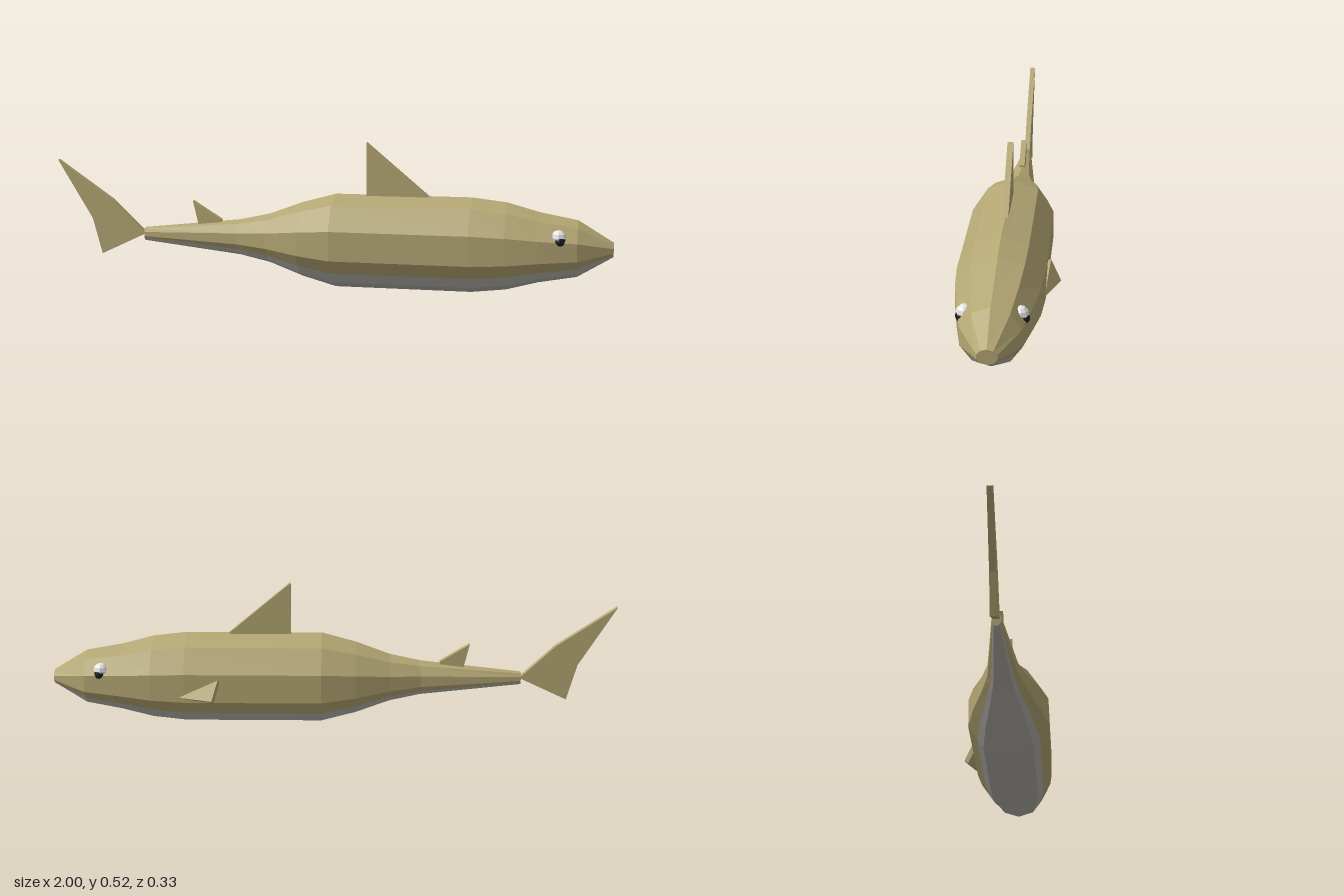
import * as THREE from 'three';

const CY = 0.168, CZ = 0.023; // body axis

function makeMaterial(name, color) {
  const m = new THREE.MeshStandardMaterial({ color, flatShading: true });
  m.name = name;
  return m;
}

// body stations: x, vertical radius, sideways radius
const STATIONS = [
  [-0.67, 0.024, 0.016], [-0.31, 0.064, 0.054], [-0.2, 0.088, 0.083],
  [-0.08, 0.133, 0.123], [0.04, 0.166, 0.15], [0.52, 0.166, 0.15],
  [0.64, 0.152, 0.142], [0.75, 0.122, 0.124], [0.88, 0.098, 0.099],
  [1.0, 0.025, 0.033],
];

// ten-sided outline [up, side], with the belly colour line cutting one face on each flank
function bodyOutline() {
  const pts = [];
  for (let i = 0; i < 10; i++) pts.push([Math.cos(i * Math.PI / 5), Math.sin(i * Math.PI / 5)]);
  const mix = (a, b) => [a[0] + (b[0] - a[0]) * 0.58, a[1] + (b[1] - a[1]) * 0.58];
  return [...pts.slice(0, 4), mix(pts[3], pts[4]), ...pts.slice(4, 7), mix(pts[7], pts[6]), ...pts.slice(7)];
}

function bodyPart(belly) {
  const outline = bodyOutline(), n = outline.length, pos = [];
  const at = (s, k) => {
    const [u, w] = outline[k % n];
    return [s[0], CY + u * s[1], CZ + w * s[2]];
  };
  const tri = (a, b, c) => pos.push(...a, ...b, ...c);
  for (let k = 0; k < n; k++) {
    if ((k >= 4 && k < 8) !== belly) continue;
    for (let i = 0; i < STATIONS.length - 1; i++) {
      const s = STATIONS[i], t = STATIONS[i + 1];
      tri(at(s, k), at(s, k + 1), at(t, k + 1));
      tri(at(s, k), at(t, k + 1), at(t, k));
    }
  }
  if (!belly) { // snout and tail end caps
    const s = STATIONS[0], t = STATIONS[STATIONS.length - 1];
    for (let k = 0; k < n; k++) {
      tri([t[0], CY, CZ], at(t, k), at(t, k + 1));
      tri([s[0], CY, CZ], at(s, k + 1), at(s, k));
    }
  }
  const g = new THREE.BufferGeometry();
  g.setAttribute('position', new THREE.Float32BufferAttribute(pos, 3));
  g.computeVertexNormals();
  return g;
}

// flat upright fin on the centre plane
function finGeometry(points, thickness = 0.02) {
  const shape = new THREE.Shape(points.map(([x, y]) => new THREE.Vector2(x, y)));
  const g = new THREE.ExtrudeGeometry(shape, { depth: thickness, bevelEnabled: false });
  return g.translate(0, 0, CZ - thickness / 2);
}

// triangular slab between three points, thickened along its normal
function slabGeometry(a, b, c, thickness) {
  const [A, B, C] = [a, b, c].map((p) => new THREE.Vector3(...p));
  const X = B.clone().sub(A).normalize();
  const Z = X.clone().cross(C.clone().sub(A)).normalize();
  const Y = Z.clone().cross(X);
  const local = [A, B, C].map((p) => {
    const d = p.clone().sub(A);
    return new THREE.Vector2(d.dot(X), d.dot(Y));
  });
  const g = new THREE.ExtrudeGeometry(new THREE.Shape(local), { depth: thickness, bevelEnabled: false });
  return g.applyMatrix4(new THREE.Matrix4().makeBasis(X, Y, Z).setPosition(A));
}

export function createModel() {
  const group = new THREE.Group();
  group.name = 'shark';
  const skin = makeMaterial('sandSkin', 0xb4a774);
  const bellyGrey = makeMaterial('bellyGrey', 0xb4b1aa);
  const eyeWhite = makeMaterial('eyeWhite', 0xe8e8e8);
  const eyeBlack = makeMaterial('pupilBlack', 0x1c1c1c);
  const add = (name, geometry, material) => {
    const m = new THREE.Mesh(geometry, material);
    m.name = name;
    group.add(m);
    return m;
  };

  add('body', bodyPart(false), skin);
  add('belly', bodyPart(true), bellyGrey);

  // fins along the centre plane
  add('dorsalFin', finGeometry([[0.15, 0.3], [0.37, 0.32], [0.37, 0.333], [0.15, 0.517]]), skin);
  add('rearDorsalFin', finGeometry([[-0.46, 0.19], [-0.38, 0.19], [-0.38, 0.23], [-0.485, 0.295]]), skin);
  add('tailFin', finGeometry([[-1, 0.433], [-0.87, 0.22], [-0.835, 0.09], [-0.665, 0.17], [-0.79, 0.29]]), skin);

  // single side fin
  add('sideFin', slabGeometry([0.54, 0.135, -0.118], [0.4, 0.204, -0.13], [0.42, 0.137, -0.165], 0.02), skin);

  // eyes
  for (const side of [1, -1]) {
    const name = side > 0 ? 'near' : 'far';
    add(name + 'Eye', new THREE.SphereGeometry(0.026, 8, 6), eyeWhite)
      .position.set(0.818, 0.217, CZ + side * 0.085);
    add(name + 'Pupil', new THREE.SphereGeometry(0.02, 8, 6), eyeBlack)
      .position.set(0.822, 0.206, CZ + side * 0.093);
  }
  return group;
}
